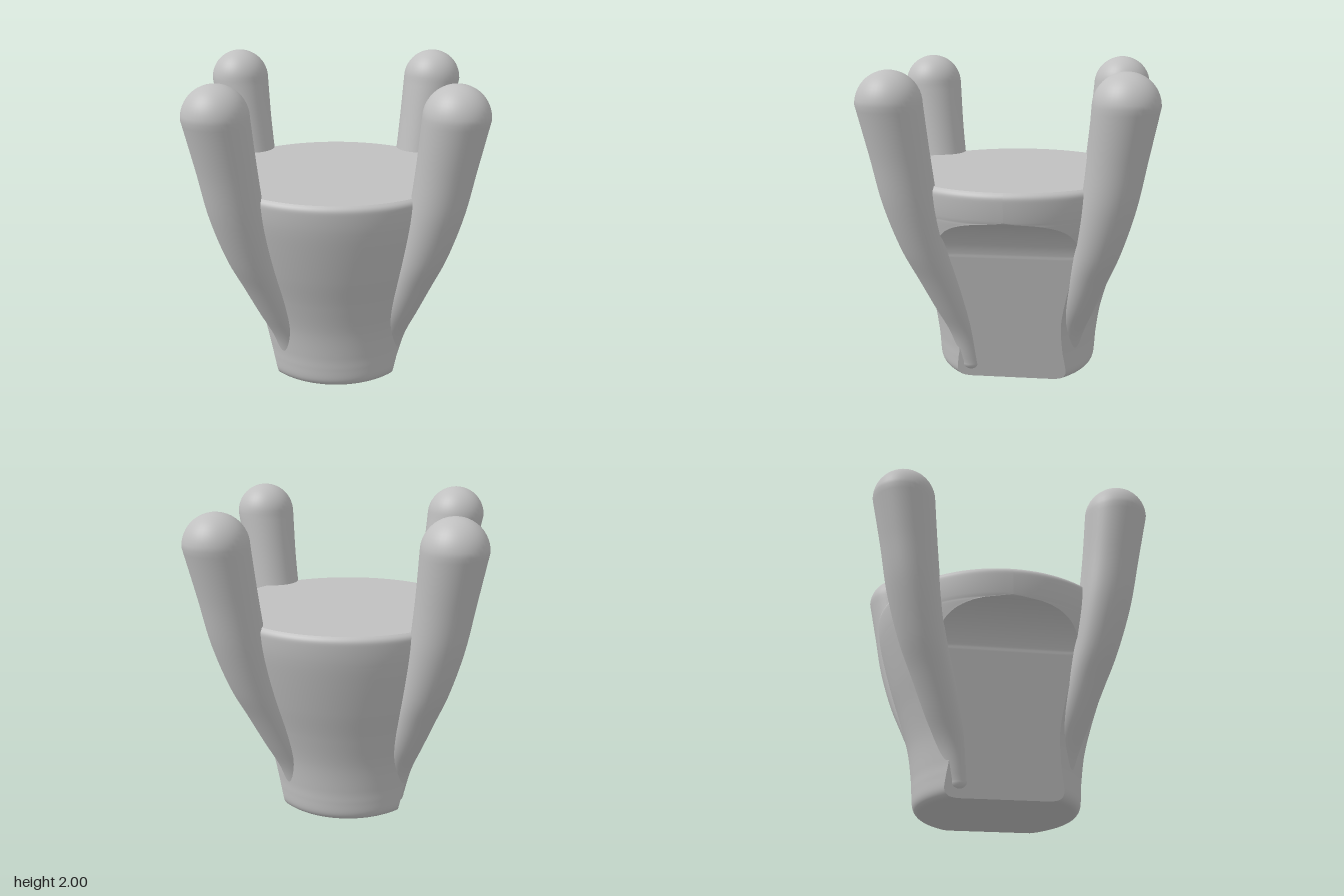
import * as THREE from 'three';
import { mergeVertices } from 'three/addons/utils/BufferGeometryUtils.js';

const grey = new THREE.MeshStandardMaterial({ color: 0xc0c0c0 });
grey.name = 'plain grey';

// Smooth curve through [a, b] pairs, sampled evenly
const sample = (pts, n) =>
  new THREE.SplineCurve(pts.map(([a, b]) => new THREE.Vector2(a, b))).getSpacedPoints(n);

// Half-width of the body at height y: a leaning flat that sweeps outwards under the rim
function cutX(y) {
  if (y < 0.87) return 0.37 + 0.22 * y;
  const dy = y - 0.791, R = 0.37;
  return dy < R ? 0.921 - Math.sqrt(R * R - dy * dy) : Infinity;
}

// Surface from a grid of points; columns run right and rows run up as seen from outside
function surface(rows, cols, point) {
  const pos = [], index = [];
  for (let i = 0; i <= rows; i++)
    for (let j = 0; j <= cols; j++) pos.push(...point(i, j / cols));
  const w = cols + 1;
  for (let i = 0; i < rows; i++)
    for (let j = 0; j < cols; j++) {
      const k = i * w + j;
      index.push(k, k + 1, k + w + 1, k, k + w + 1, k + w);
    }
  const g = new THREE.BufferGeometry();
  g.setAttribute('position', new THREE.Float32BufferAttribute(pos, 3));
  g.setIndex(index);
  g.computeVertexNormals();
  return g;
}

function createBody() {
  const body = new THREE.Group();
  body.name = 'body';
  const add = (name, geometry) => {
    const m = new THREE.Mesh(geometry, grey);
    m.name = name;
    body.add(m);
    return m;
  };

  // Cup profile as [radius, height]
  const rings = sample([
    [0.46, 0], [0.495, 0.012], [0.518, 0.05], [0.526, 0.13], [0.533, 0.22], [0.56, 0.4],
    [0.615, 0.6], [0.68, 0.8], [0.738, 1.0], [0.775, 1.15], [0.79, 1.26], [0.786, 1.295], [0.765, 1.315],
  ], 140);
  const n = rings.length - 1;
  const halfAngle = ({ x: r, y }) => Math.asin(Math.min(1, cutX(y) / r));

  // Round walls front and back, flat scoops on both sides
  const wall = surface(n, 48, (i, t) => {
    const a = halfAngle(rings[i]) * (2 * t - 1), r = rings[i].x;
    return [r * Math.sin(a), rings[i].y, r * Math.cos(a)];
  });
  const lastCut = rings.findIndex((p) => cutX(p.y) >= p.x);
  const scoop = surface(lastCut, 8, (i, t) => {
    const a = halfAngle(rings[i]), r = rings[i].x;
    return [r * Math.sin(a), rings[i].y, r * Math.cos(a) * (1 - 2 * t)];
  });
  add('frontWall', wall);
  add('backWall', wall).rotation.y = Math.PI;
  add('leftScoop', scoop);
  add('rightScoop', scoop).rotation.y = Math.PI;

  // Flat top and bottom
  const cap = (ring) => {
    const a = halfAngle(ring), q = Math.PI / 2;
    const s = new THREE.Shape();
    s.absarc(0, 0, ring.x, q - a, q + a, false);
    s.absarc(0, 0, ring.x, 3 * q - a, 3 * q + a, false);
    return new THREE.ShapeGeometry(s, 48);
  };
  add('top', cap(rings[n]).rotateX(-Math.PI / 2)).position.y = rings[n].y;
  add('bottom', cap(rings[0]).rotateX(Math.PI / 2));
  return body;
}

// Arm stations: [height, x, z, radius]
const ARM = [
  [0.1, 0.33, 0.265, 0.075], [0.3, 0.36, 0.3, 0.095], [0.5, 0.415, 0.37, 0.115],
  [0.7, 0.475, 0.44, 0.13], [0.9, 0.535, 0.51, 0.145], [1.2, 0.6, 0.58, 0.165],
  [1.5, 0.645, 0.625, 0.177], [1.805, 0.685, 0.67, 0.195],
];

function armGeometry() {
  // Upright tapered post with domed ends
  const side = sample(ARM.map(([y, , , r]) => [r, y]), 50);
  const dome = (r, y, h, from, to) => Array.from({ length: 13 }, (_, i) => {
    const a = from + ((to - from) * i) / 12;
    return new THREE.Vector2(Math.max(0, r * Math.cos(a)), y + h * Math.sin(a));
  });
  const first = ARM[0], last = ARM[ARM.length - 1];
  const profile = [
    ...dome(first[3], first[0], 0.065, -Math.PI / 2, 0).slice(0, -1),
    ...side,
    ...dome(last[3], last[0], last[3], 0, Math.PI / 2).slice(1),
  ];
  let g = new THREE.LatheGeometry(profile, 40);

  // Shift every level onto the bent centre line
  const path = new THREE.CatmullRomCurve3(ARM.map(([y, x, z]) => new THREE.Vector3(x, y, z)));
  const line = path.getPoints(140);
  const p = g.attributes.position;
  for (let i = 0; i < p.count; i++) {
    const y = THREE.MathUtils.clamp(p.getY(i), first[0], last[0]);
    const k = Math.max(1, line.findIndex((c) => c.y >= y - 1e-6));
    const a = line[k - 1], b = line[k];
    const c = a.clone().lerp(b, (y - a.y) / (b.y - a.y));
    p.setXYZ(i, p.getX(i) + c.x, p.getY(i), p.getZ(i) + c.z);
  }
  g.deleteAttribute('uv');
  g.deleteAttribute('normal');
  g = mergeVertices(g, 1e-5);
  g.computeVertexNormals();
  return g;
}

export function createModel() {
  const model = new THREE.Group();
  model.name = 'fourArmedCup';
  model.add(createBody());

  // Four equal arms, each a quarter turn from the last
  const geometry = armGeometry();
  ['backLeftArm', 'frontLeftArm', 'frontRightArm', 'backRightArm'].forEach((name, i) => {
    const arm = new THREE.Mesh(geometry, grey);
    arm.name = name;
    arm.rotation.y = Math.PI / 2 - (i * Math.PI) / 2;
    // The base arm leans towards x, so the quarter turns keep the same slight twist
    arm.position.set(0, 0, 0);
    model.add(arm);
  });
  return model;
}
